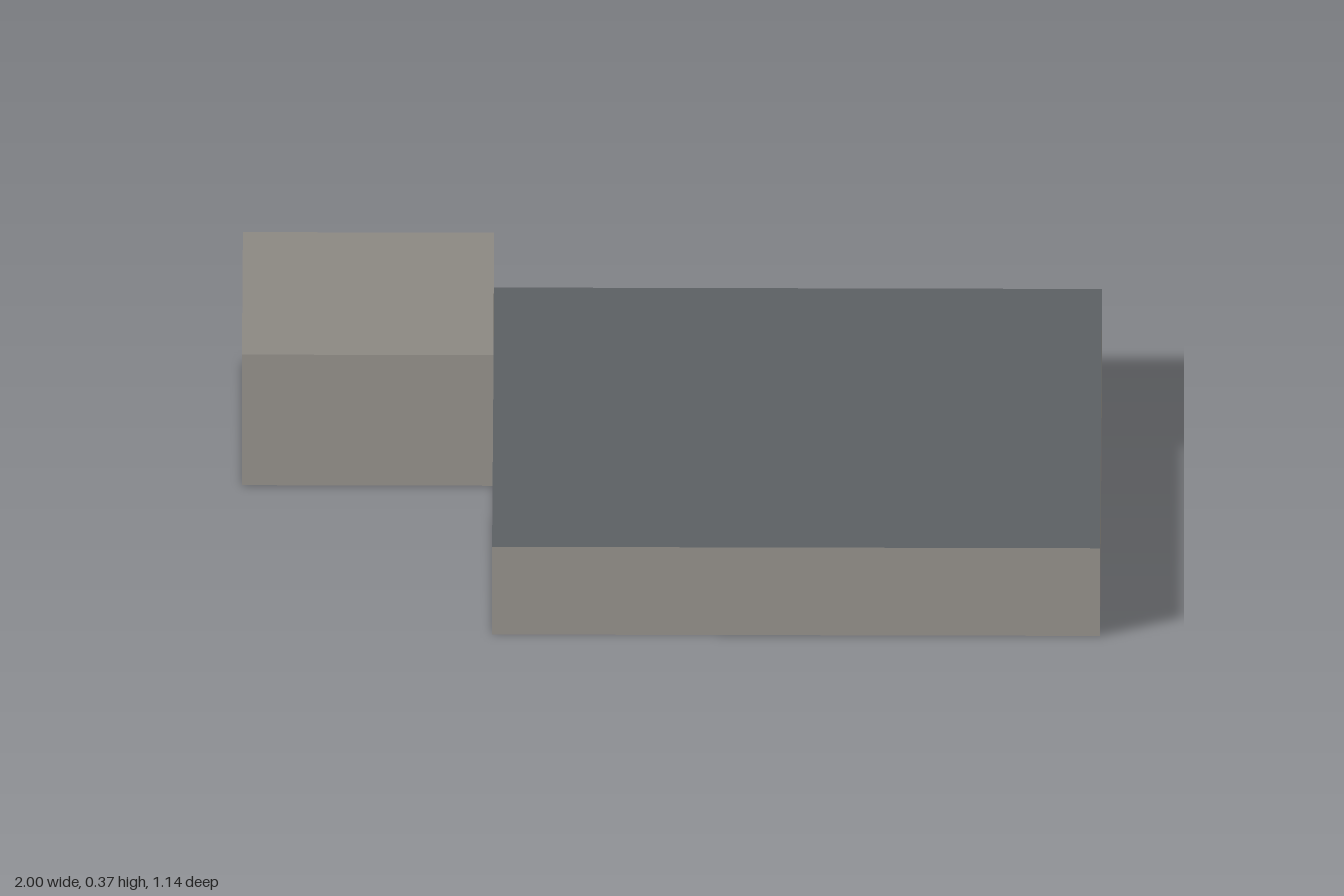
import * as THREE from 'three';

const material = (name, color) => {
  const m = new THREE.MeshStandardMaterial({ color });
  m.name = name;
  return m;
};

// Box given by its minimum and maximum corners
function block(name, [x0, y0, z0], [x1, y1, z1], materials) {
  const geometry = new THREE.BoxGeometry(x1 - x0, y1 - y0, z1 - z0);
  geometry.translate((x0 + x1) / 2, (y0 + y1) / 2, (z0 + z1) / 2);
  const mesh = new THREE.Mesh(geometry, materials);
  mesh.name = name;
  return mesh;
}

export function createModel() {
  const wall = material('wall grey', 0xb2aea7);
  const annexTop = material('annex roof grey', 0x8d8a84);
  const roof = material('slate roof', 0x5d6164);
  const floor = material('floor grey', 0x706c67);
  const annexFloor = material('navy floor', 0x353846);
  const dark = material('dark metal', 0x24262c);

  // Face order: +x, -x, top, bottom, +z, -z
  const faces = (top, bottom) => [wall, wall, top, bottom, wall, wall];

  const model = new THREE.Group();
  model.name = 'building';

  // Low main hall and the taller annex beside its back corner
  model.add(
    block('mainHall', [-0.415, 0, -0.52], [1, 0.245, 0.57], faces(roof, floor)),
    block('annex', [-1, 0, -0.57], [-0.415, 0.365, -0.055], faces(annexTop, annexFloor))
  );

  // Two slim posts at the foot of the annex's back wall
  for (const x of [-0.67, -0.735]) {
    model.add(block('backPost', [x - 0.003, 0, -0.572], [x + 0.003, 0.07, -0.57], dark));
  }
  return model;
}
